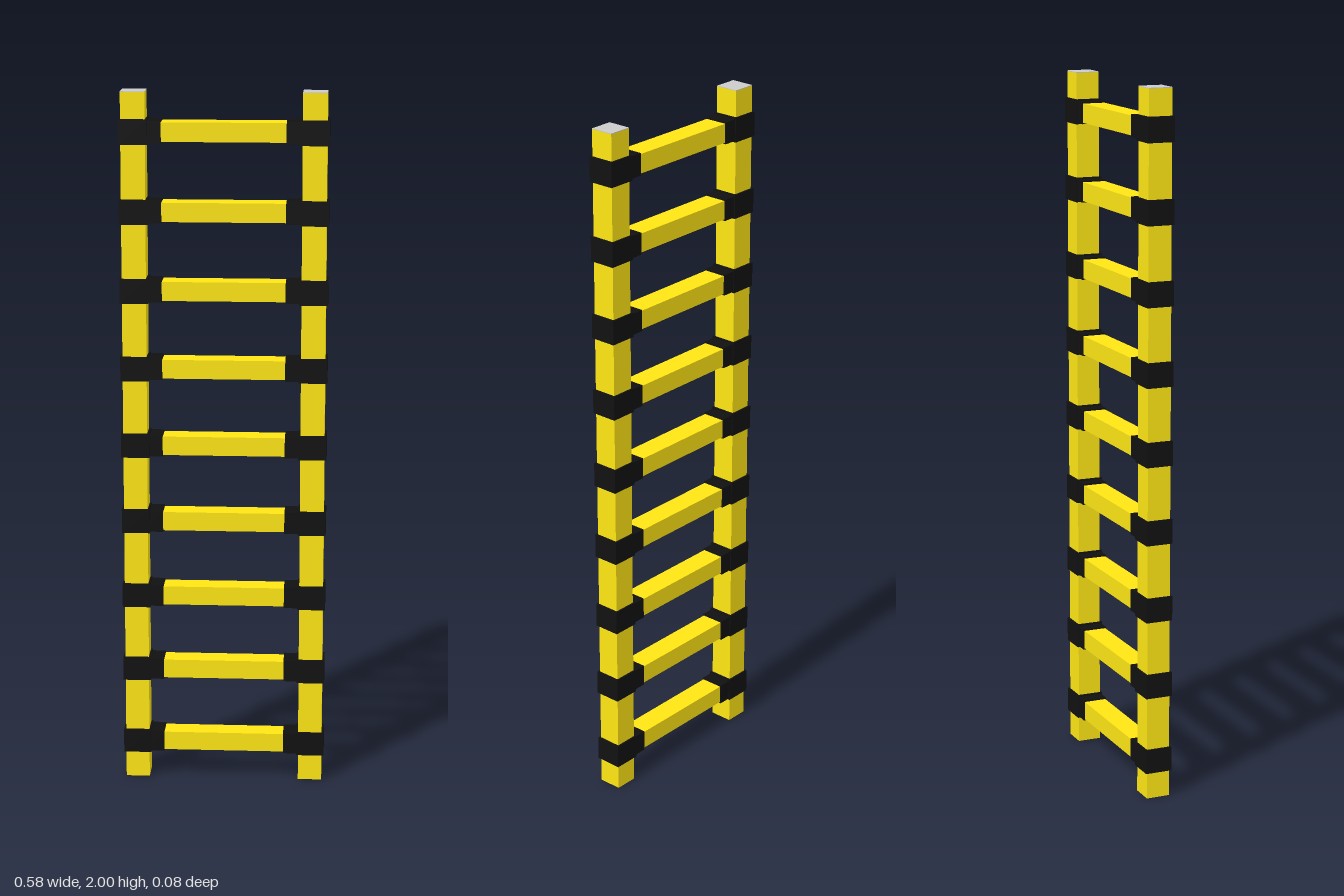
import * as THREE from 'three';

const yellow = new THREE.MeshStandardMaterial({ color: 0xffe614 });
const black = new THREE.MeshStandardMaterial({ color: 0x111111 });
const grey = new THREE.MeshStandardMaterial({ color: 0xcccccc });

function addBox(parent, name, material, size, position) {
  const mesh = new THREE.Mesh(new THREE.BoxGeometry(...size), material);
  mesh.name = name;
  mesh.position.set(...position);
  parent.add(mesh);
}

export function createModel() {
  const ladder = new THREE.Group();
  ladder.name = 'ladder';

  const railX = 0.251;
  const rungCount = 9;
  const spacing = 2 / rungCount;
  const capHeight = 0.002;
  const sides = [['left', 1], ['right', -1]];

  // Square side rails with bare top ends
  for (const [side, s] of sides) {
    addBox(ladder, `${side}Rail`, yellow, [0.068, 2 - capHeight, 0.068], [s * railX, 1 - capHeight / 2, 0]);
    addBox(ladder, `${side}RailCap`, grey, [0.068, capHeight, 0.068], [s * railX, 2 - capHeight / 2, 0]);
  }

  // Rungs, each held by a collar around the rail and a sleeve around the rung end
  for (let i = 0; i < rungCount; i++) {
    const rung = new THREE.Group();
    rung.name = `rung${i + 1}`;
    rung.position.y = (i + 0.5) * spacing;
    addBox(rung, 'rungBar', yellow, [0.42, 0.054, 0.066], [0, 0, 0]);
    for (const [side, s] of sides) {
      addBox(rung, `${side}Collar`, black, [0.08, 0.07, 0.078], [s * railX, 0, 0]);
      addBox(rung, `${side}Sleeve`, black, [0.05, 0.062, 0.072], [s * 0.198, 0, 0]);
    }
    ladder.add(rung);
  }

  return ladder;
}
